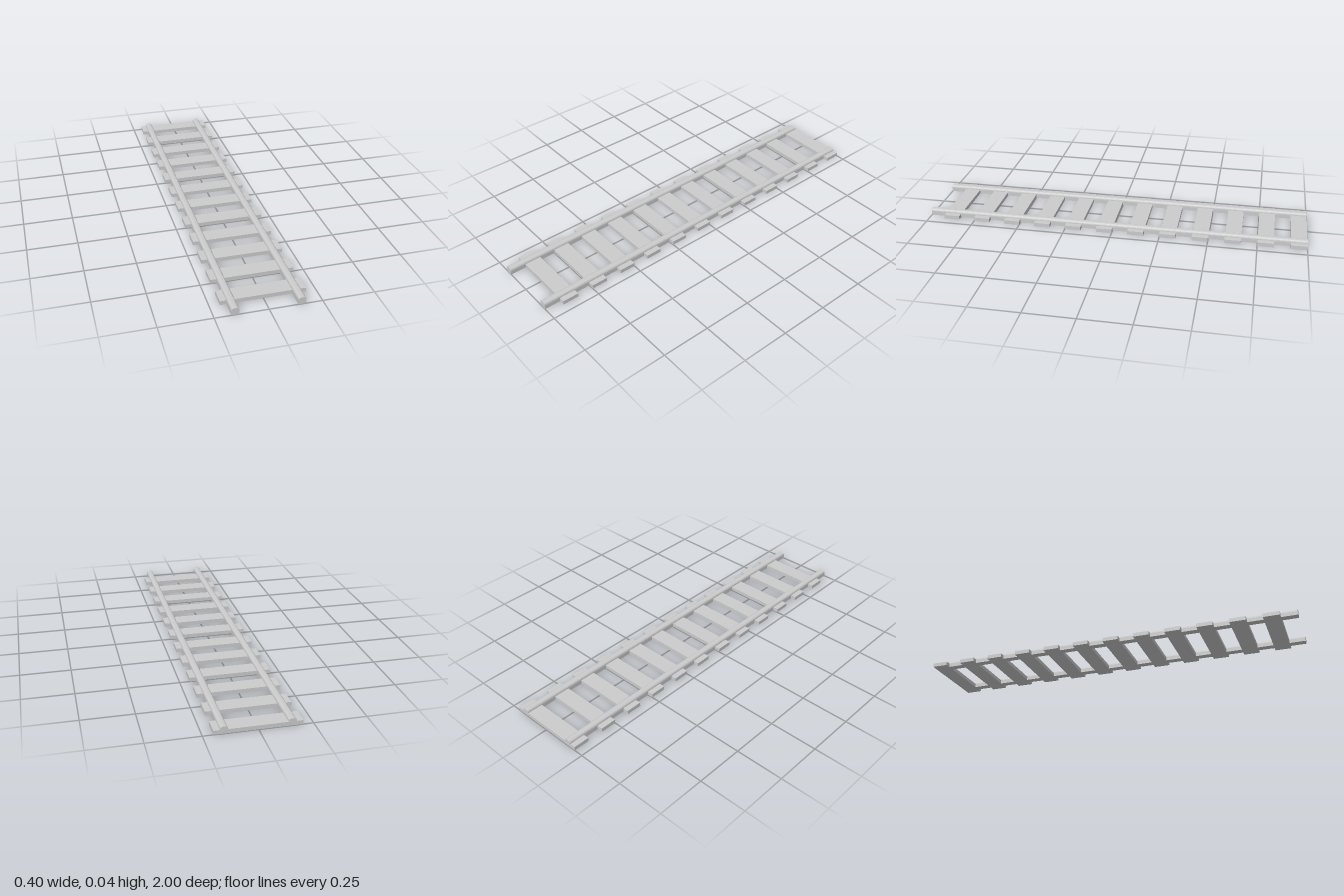
import * as THREE from 'three';

export function createModel() {
  const track = new THREE.Group();
  track.name = 'railwayTrack';
  const material = new THREE.MeshStandardMaterial({ color: 0xcccccc, flatShading: true });

  // Sleepers: evenly spaced, the first flush with the back end
  const count = 12, pitch = 2 / count, depth = pitch / 2, height = 0.02;
  const sleeperGeometry = new THREE.BoxGeometry(0.404, height, depth);
  for (let i = 0; i < count; i++) {
    const sleeper = new THREE.Mesh(sleeperGeometry, material);
    sleeper.name = `sleeper${i + 1}`;
    sleeper.position.set(0, height / 2, -1 + depth / 2 + i * pitch);
    track.add(sleeper);
  }

  // Rail section: straight sides with a rounded head
  const half = 0.0185, top = 0.035;
  const section = new THREE.Shape();
  section.moveTo(-half, 0);
  section.lineTo(half, 0);
  section.lineTo(half, 0.02);
  section.bezierCurveTo(half, 0.029, 0.013, top, 0.005, top);
  section.lineTo(-0.005, top);
  section.bezierCurveTo(-0.013, top, -half, 0.029, -half, 0.02);
  section.closePath();
  const railGeometry = new THREE.ExtrudeGeometry(section, {
    depth: 2, bevelEnabled: false, curveSegments: 5,
  });
  for (const [name, side] of [['leftRail', 1], ['rightRail', -1]]) {
    const rail = new THREE.Mesh(railGeometry, material);
    rail.name = name;
    rail.position.set(side * 0.154, 0, -1);
    track.add(rail);
  }
  return track;
}
